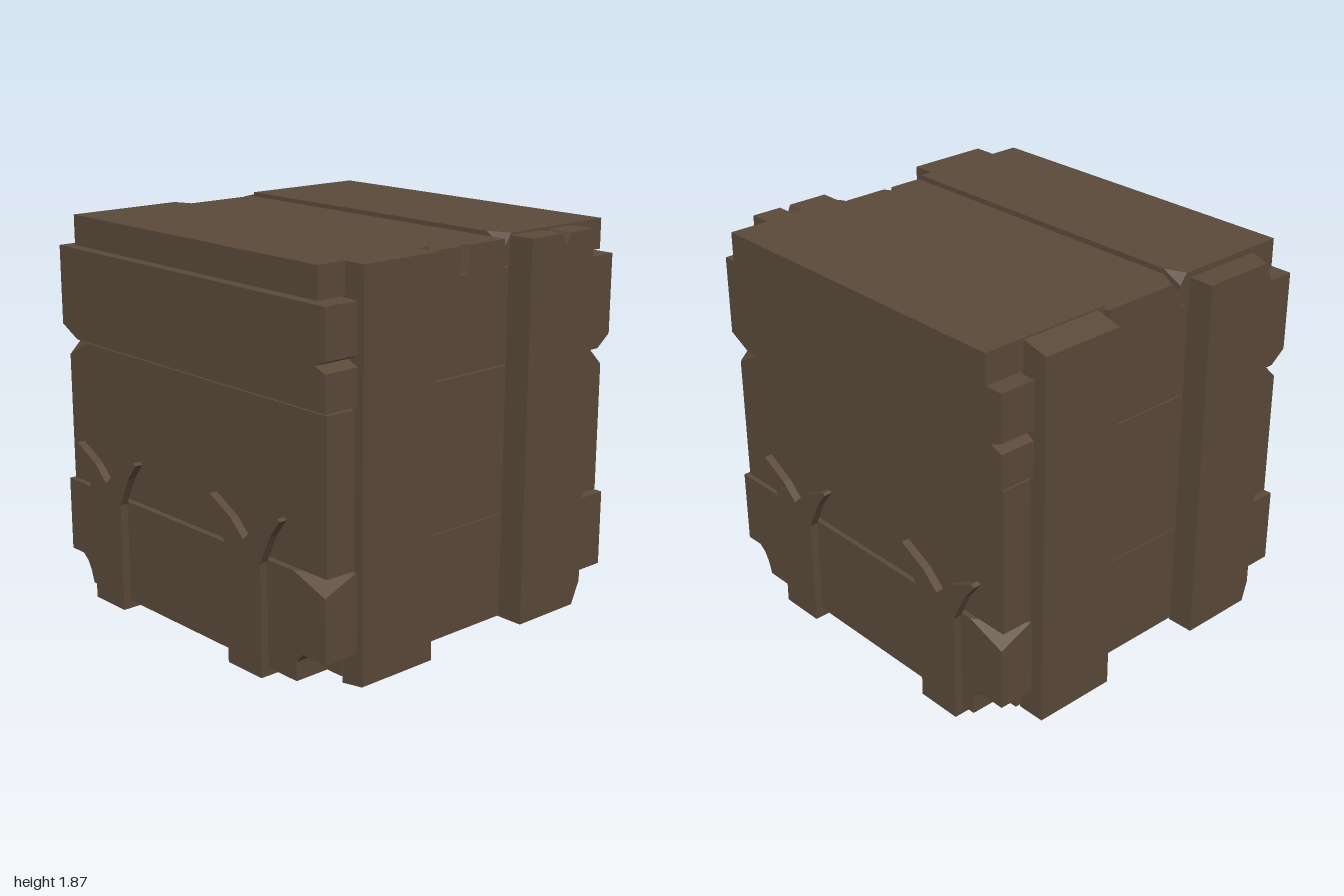
import * as THREE from 'three';
import { ConvexGeometry } from 'three/addons/geometries/ConvexGeometry.js';

const wood = new THREE.MeshStandardMaterial({ color: 0x5b4a3a });
wood.name = 'dark wood';

function add(group, name, geometry) {
  const mesh = new THREE.Mesh(geometry, wood);
  mesh.name = name;
  group.add(mesh);
  return mesh;
}

// Board from its limits; each chip cuts one corner: [sx, sy, sz, dx, dy, dz]
function board(group, name, [x0, x1], [y0, y1], [z0, z1], chips = []) {
  const points = [];
  for (const sx of [-1, 1]) for (const sy of [-1, 1]) for (const sz of [-1, 1]) {
    const x = sx < 0 ? x0 : x1, y = sy < 0 ? y0 : y1, z = sz < 0 ? z0 : z1;
    const chip = chips.find(c => c[0] === sx && c[1] === sy && c[2] === sz);
    if (!chip) {
      points.push(new THREE.Vector3(x, y, z));
      continue;
    }
    points.push(new THREE.Vector3(x - sx * chip[3], y, z),
      new THREE.Vector3(x, y - sy * chip[4], z),
      new THREE.Vector3(x, y, z - sz * chip[5]));
  }
  return add(group, name, new ConvexGeometry(points));
}

// Outline in x and y, extruded from z0 to z1
function prism(outline, z0, z1) {
  const shape = new THREE.Shape(outline.map(p => new THREE.Vector2(p[0], p[1])));
  const geometry = new THREE.ExtrudeGeometry(shape, { depth: z1 - z0, bevelEnabled: false });
  return geometry.translate(0, 0, z0);
}

// Three weathered horizontal planks, used for front and back
function plankWall(name) {
  const wall = new THREE.Group();
  wall.name = name;
  board(wall, 'upperPlank', [-0.955, 0.7], [1.273, 1.717], [0.72, 0.9],
    [[-1, -1, 1, 0.12, 0.06, 0.08]]);
  add(wall, 'upperPlankNotchedEnd', prism([[0.7, 1.273], [0.95, 1.273], [0.95, 1.44],
    [0.89, 1.465], [0.95, 1.49], [0.95, 1.717], [0.7, 1.717]], 0.72, 0.9));
  board(wall, 'middlePlank', [-0.925, 0.945], [0.555, 1.262], [0.73, 0.885],
    [[-1, 1, 1, 0.15, 0.08, 0.08]]);
  board(wall, 'lowerPlank', [-0.955, 0.95], [0.175, 0.545], [0.72, 0.9],
    [[1, 1, 1, 0.2, 0.07, 0.17]]);
  add(wall, 'lowerPlankWornEdge', prism([[-0.86, 0.175], [-0.82, 0.145], [-0.795, 0.1],
    [-0.775, 0.04], [0.765, 0.04], [0.765, 0.13], [0.805, 0.175]], 0.72, 0.9));
  return wall;
}

// Strap with a forked upper end, centred on x = 0
const halfFork = [[0.115, 0], [0.115, 0.535], [0.16, 0.63], [0.185, 0.68],
  [0.247, 0.76], [0.23, 0.77], [0.085, 0.695]];
const forkOutline = [...halfFork, [0, 0.617],
  ...halfFork.map(([x, y]) => [-x, y]).reverse()];

function strap(x) {
  const group = new THREE.Group();
  group.name = 'strap';
  add(group, 'frontFork', prism(forkOutline, 0.9, 0.94));
  add(group, 'backFork', prism(forkOutline, -0.94, -0.9));
  board(group, 'strapBase', [-0.115, 0.115], [0, 0.04], [-0.92, 0.92]);
  group.position.x = x;
  return group;
}

export function createModel() {
  const crate = new THREE.Group();
  crate.name = 'crate';

  // Inner body in three layers with narrow seams
  for (const [y0, y1] of [[0.045, 0.555], [0.56, 1.264], [1.271, 1.716]])
    board(crate, 'innerBody', [-0.865, 0.865], [y0, y1], [-0.73, 0.73]);

  // Front wall and its turned copy at the back
  crate.add(plankWall('frontWall'));
  const backWall = plankWall('backWall');
  backWall.rotation.y = Math.PI;
  backWall.position.z = 0.005;
  crate.add(backWall);

  // Lid planks
  board(crate, 'frontLidPlank', [-0.87, 0.87], [1.724, 1.87], [0.235, 0.868],
    [[-1, 1, -1, 0.1, 0.05, 0.04]]);
  board(crate, 'backLidPlank', [-0.87, 0.87], [1.724, 1.87], [-0.908, -0.237],
    [[1, 1, 1, 0.11, 0.06, 0.045]]);
  board(crate, 'middleLidPlank', [-0.885, 0.7], [1.72, 1.85], [-0.23, 0.225],
    [[-1, 1, 1, 0.11, 0.06, 0.06]]);
  const lidEnd = prism([[0.7, -0.225], [0.88, -0.225], [0.88, -0.05], [0.835, -0.025],
    [0.88, 0], [0.88, 0.23], [0.7, 0.23]], 0, 0.13);
  add(crate, 'middleLidPlankNotchedEnd', lidEnd.rotateX(-Math.PI / 2).translate(0, 1.72, 0));

  // Upright planks on the model's left side
  add(crate, 'leftFrontUpright', prism([[0.86, 0.01], [0.985, 0.03],
    [0.985, 1.87], [0.86, 1.87]], 0.3, 0.72));
  board(crate, 'leftBackUpright', [0.86, 1], [0.04, 1.6], [-0.695, -0.275],
    [[1, -1, -1, 0.1, 0.11, 0.05]]);
  const notchedTop = prism([[0.275, 1.6], [0.695, 1.6], [0.695, 1.86], [0.54, 1.86],
    [0.51, 1.8], [0.48, 1.86], [0.275, 1.86]], 0.86, 1);
  add(crate, 'leftBackUprightTop', notchedTop.rotateY(Math.PI / 2));

  // Upright planks on the model's right side
  add(crate, 'rightBackUpright', prism([[-1, 0.03], [-0.86, 0.03],
    [-0.86, 1.865], [-1, 1.83]], -0.7, -0.28));
  board(crate, 'rightFrontUpright', [-0.995, -0.86], [0.03, 1.84], [0.3, 0.715],
    [[-1, 1, 1, 0.1, 0.1, 0.05], [-1, -1, 1, 0.1, 0.1, 0.03]]);

  // Forked straps wrapped under the crate
  for (const x of [-0.578, 0.46]) crate.add(strap(x));
  return crate;
}
